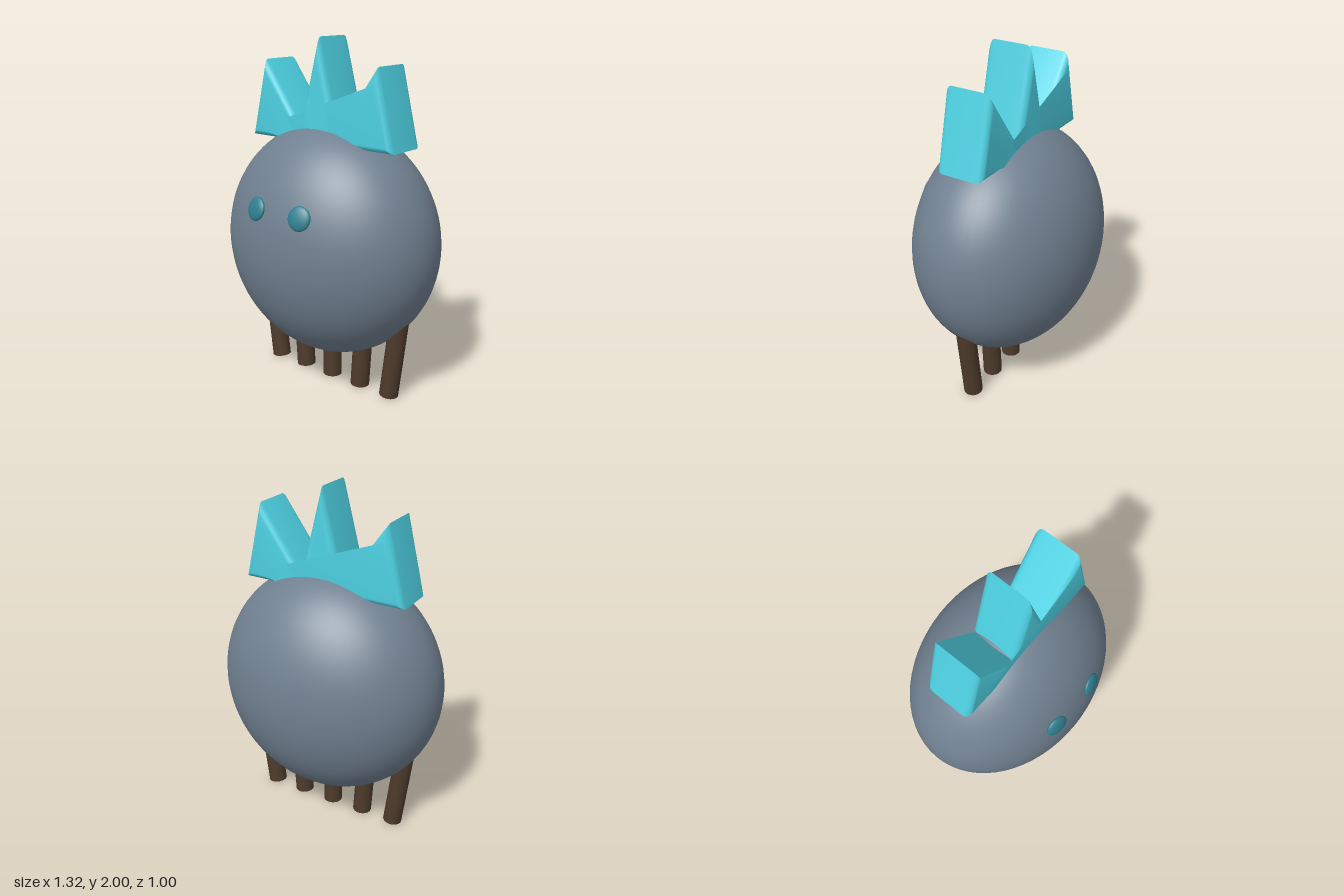
import * as THREE from 'three';
import { toCreasedNormals } from 'three/addons/utils/BufferGeometryUtils.js';

const mat = (color) => new THREE.MeshStandardMaterial({ color });

// Moves every edge of a counter-clockwise outline inwards by d, with mitred corners
function inset(pts, d) {
  const n = pts.length;
  return pts.map((p, i) => {
    const a = pts[(i + n - 1) % n], b = pts[(i + 1) % n];
    const u = p.clone().sub(a).normalize(), v = b.clone().sub(p).normalize();
    const n1 = new THREE.Vector2(-u.y, u.x), n2 = new THREE.Vector2(-v.y, v.x);
    const m = n1.clone().add(n2);
    return p.clone().addScaledVector(m, d / (1 + n1.dot(n2)));
  });
}

// Three-pointed slab with a rounded bevel; a sloping web closes one notch on each face
function crownGeometry() {
  const outline = [
    [-0.49, 1.43], [0.49, 1.43], [0.385, 1.865], [0.128, 1.51],
    [0, 2], [-0.128, 1.51], [-0.385, 1.865],
  ].map(([x, y]) => new THREE.Vector2(x, y));
  const half = 0.14, bevel = 0.04, steps = 5, n = outline.length;
  const rings = [];
  for (const side of [1, -1]) {
    for (let s = 0; s <= steps; s++) {
      const t = (side > 0 ? 1 - s / steps : s / steps) * Math.PI / 2;
      const z = side * (half - bevel + bevel * Math.sin(t));
      rings.push(inset(outline, bevel * (1 - Math.cos(t))).map((p) => [p.x, p.y, z]));
    }
  }
  const pos = [];
  const tri = (a, b, c) => pos.push(...a, ...b, ...c);
  for (let r = 0; r < rings.length - 1; r++) {
    for (let i = 0; i < n; i++) {
      const j = (i + 1) % n, f = rings[r], k = rings[r + 1];
      tri(f[i], k[i], k[j]);
      tri(f[i], k[j], f[j]);
    }
  }
  const front = rings[0], back = rings[rings.length - 1];
  for (const [a, b, c] of [[0, 1, 2], [0, 5, 6], [3, 4, 5]]) tri(front[a], front[b], front[c]);
  for (const [a, b, c] of [[0, 1, 6], [1, 2, 3], [3, 4, 5]]) tri(back[c], back[b], back[a]);
  const g = new THREE.BufferGeometry();
  g.setAttribute('position', new THREE.Float32BufferAttribute(pos, 3));
  return toCreasedNormals(g, 0.6);
}

export function createModel() {
  const model = new THREE.Group();
  const add = (name, geometry, material) => {
    const mesh = new THREE.Mesh(geometry, material);
    mesh.name = name;
    model.add(mesh);
    return mesh;
  };

  // Egg-shaped body
  const radii = new THREE.Vector3(0.66, 0.67, 0.5);
  const body = add('body', new THREE.SphereGeometry(1, 64, 48), mat(0x708090));
  body.scale.copy(radii);
  body.position.y = 0.87;

  // Crown
  add('crown', crownGeometry(), mat(0x4dd0e1));

  // Flattened eyes lying on the body surface
  const eyeMat = mat(0x2f7f8f);
  for (const side of [1, -1]) {
    const eye = add(side > 0 ? 'leftEye' : 'rightEye', new THREE.SphereGeometry(1, 32, 20), eyeMat);
    eye.scale.set(0.066, 0.066, 0.022);
    eye.position.set(side * 0.152, 1.11, 0.457);
    const normal = new THREE.Vector3(side * 0.152, 0.24, 0.457).divide(radii).divide(radii).normalize();
    eye.quaternion.setFromUnitVectors(new THREE.Vector3(0, 0, 1), normal);
  }

  // Row of five splayed legs
  const legMat = mat(0x4e3b2c);
  const legGeo = new THREE.CylinderGeometry(0.055, 0.055, 0.6, 32).translate(0, 0.3, 0);
  for (let i = -2; i <= 2; i++) {
    const leg = add('leg' + (i + 3), legGeo, legMat);
    leg.position.set(i * 0.2075, 0.01, 0);
    leg.rotation.z = -i * 0.064;
  }
  return model;
}
